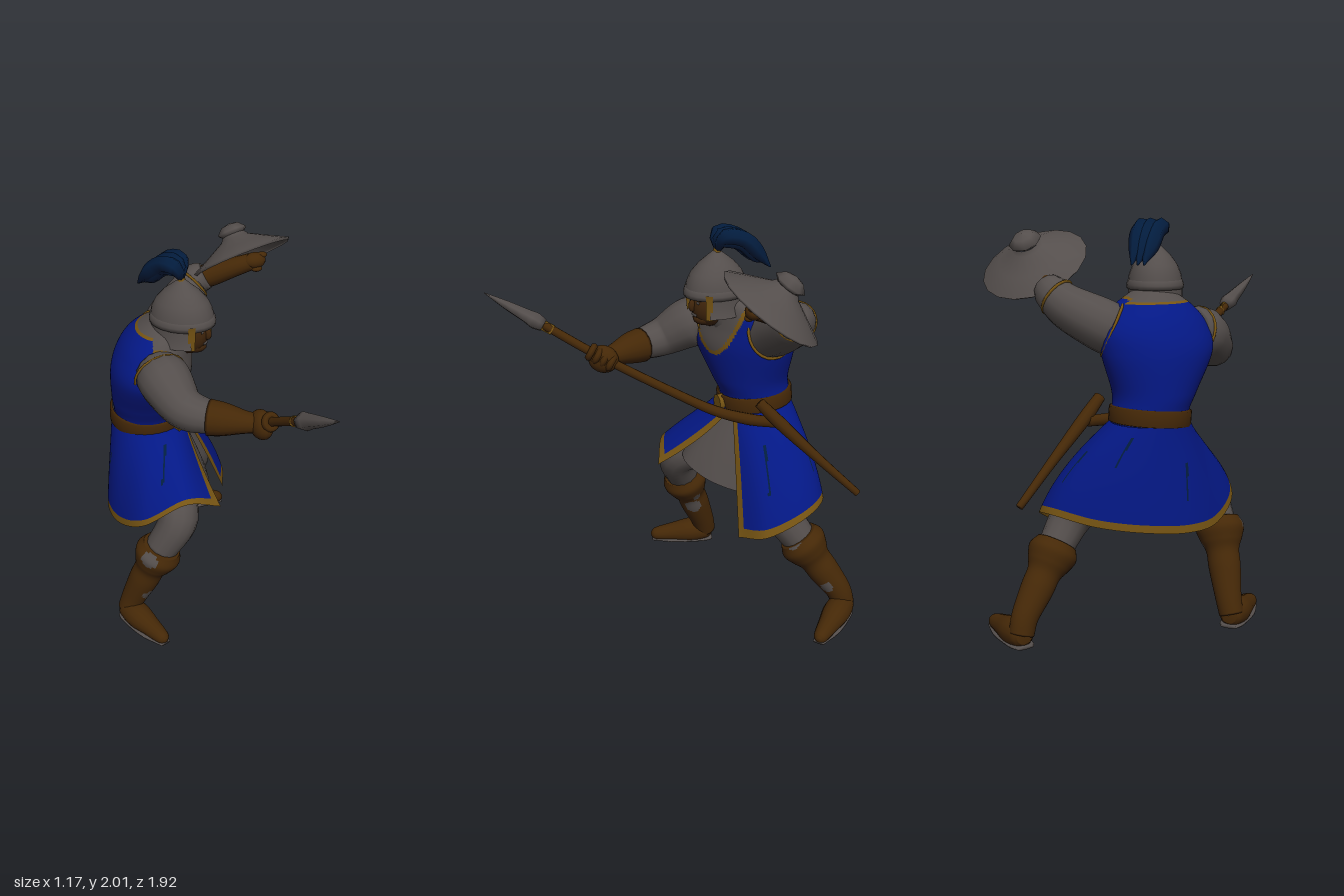
import * as THREE from 'three';

const mat = (name, color, side = THREE.FrontSide) => {
  const m = new THREE.MeshStandardMaterial({ color, side });
  m.name = name;
  return m;
};
const blue = mat('blue cloth', 0x041885, THREE.DoubleSide);
const gold = mat('gold trim', 0x765413, THREE.DoubleSide);
const steel = mat('grey steel', 0x544e4c, THREE.DoubleSide);
const brown = mat('brown leather', 0x452807);
const skin = mat('skin', 0x40250b);
const plumeBlue = mat('plume blue', 0x031d3f);

const V = (x, y, z) => new THREE.Vector3(x, y, z);

// Smooth interpolation through rows of up to five numbers
function spline(pts) {
  const curve = f => new THREE.CatmullRomCurve3(pts.map(f), false, 'catmullrom', 0.5);
  const a = curve(p => V(p[0], p[1], p[2]));
  const b = curve(p => V(p[3] || 0, p[4] || 0, 0));
  return t => [...a.getPoint(t).toArray(), ...b.getPoint(t).toArray()];
}

// Surface from a grid of points; pick chooses the material of each quad
function grid(rows, cols, closed, point, pick = () => 0) {
  const pos = [], lists = [], n = closed ? cols : cols + 1;
  for (let i = 0; i <= rows; i++)
    for (let j = 0; j < n; j++) pos.push(...point(i / rows, j / cols));
  for (let i = 0; i < rows; i++)
    for (let j = 0; j < cols; j++) {
      const k = (j + 1) % n, a = i * n + j, b = i * n + k, c = b + n, d = a + n;
      const center = [0, 1, 2].map(q => (pos[a * 3 + q] + pos[c * 3 + q]) / 2);
      (lists[pick((i + 0.5) / rows, (j + 0.5) / cols, center)] ??= []).push(a, b, c, a, c, d);
    }
  const g = new THREE.BufferGeometry();
  g.setAttribute('position', new THREE.Float32BufferAttribute(pos, 3));
  g.setIndex(lists.flat());
  let start = 0;
  lists.forEach((l, m) => { g.addGroup(start, l.length, m); start += l.length; });
  g.computeVertexNormals();
  return g;
}

// Round limb through [x, y, z, radius] points
function limbGeo(pts, sides = 14, steps = 6, pick) {
  const s = spline(pts), rows = (pts.length - 1) * steps, frames = [];
  let N = null;
  for (let i = 0; i <= rows; i++) {
    const t = i / rows, p = s(t);
    const T = V(...s(Math.min(1, t + 0.01))).sub(V(...s(Math.max(0, t - 0.01)))).normalize();
    if (!N) N = Math.abs(T.y) > 0.9 ? V(1, 0, 0) : V(0, 1, 0);
    N = N.clone().addScaledVector(T, -N.dot(T)).normalize();
    frames.push({ p: V(...p), r: Math.max(0.001, p[3]), N, B: T.clone().cross(N) });
  }
  frames.unshift({ ...frames[0], r: 0.001 });
  frames.push({ ...frames.at(-1), r: 0.001 });
  return grid(frames.length - 1, sides, true, (v, u) => {
    const f = frames[Math.round(v * (frames.length - 1))], a = u * Math.PI * 2;
    return f.p.clone().addScaledVector(f.N, f.r * Math.cos(a)).addScaledVector(f.B, f.r * Math.sin(a)).toArray();
  }, pick);
}

export function createModel() {
  const root = new THREE.Group();
  const add = (name, geo, material, parent = root) => {
    const m = new THREE.Mesh(geo, material);
    m.name = name;
    parent.add(m);
    return m;
  };
  const limb = (name, pts, material, sides, steps) => add(name, limbGeo(pts, sides, steps), material);
  const ball = (name, p, s, material, parent) => {
    const m = add(name, new THREE.SphereGeometry(1, 18, 12), material, parent);
    m.position.set(...p);
    m.scale.set(...s);
    return m;
  };
  const ring = (name, p, dir, r, t, material) => {
    const m = add(name, new THREE.TorusGeometry(r, t, 6, 24), material);
    m.position.set(...p);
    m.quaternion.setFromUnitVectors(V(0, 0, 1), V(...dir).normalize());
  };

  // Torso: ellipses [centre x, y, centre z, half width, half depth], turned toward +x
  const fx = 0.94, fz = 0.35;
  const body = spline([[-0.28, 1.0, -0.33, 0.185, 0.175], [-0.28, 1.1, -0.33, 0.185, 0.172],
    [-0.28, 1.2, -0.3, 0.205, 0.19], [-0.27, 1.38, -0.27, 0.275, 0.205],
    [-0.25, 1.5, -0.27, 0.265, 0.185], [-0.22, 1.59, -0.25, 0.2, 0.15], [-0.17, 1.67, -0.2, 0.08, 0.09]]);
  const torso = grid(100, 180, true, (v, u) => {
    const [x, y, z, w, d] = body(v), a = u * Math.PI * 2, f = d * Math.cos(a), s = w * Math.sin(a);
    return [x + fx * f + fz * s, y, z + fz * f - fx * s];
  }, (v, u, [x, y, z]) => {
    const f = fx * (x + 0.25) + fz * (z + 0.26), s = Math.abs(fz * (x + 0.25) - fx * (z + 0.2));
    const neckline = f > 0 ? 1.36 + 8 * s * s : 1.615;
    const edge = y - neckline, trim = f > 0 ? 0.009 + 0.12 * s : 0.005;
    return edge > trim ? 2 : edge > -trim ? 1 : 0;
  });
  add('tunic torso', torso, [blue, gold, steel]);
  limb('neck', [[-0.18, 1.5, -0.21, 0.09], [-0.14, 1.62, -0.16, 0.085]], steel);

  // Skirt: hem outline, starting at the right edge of the front opening, with dark folds
  const hem = spline([[-0.05, 0.71, 0.13], [-0.25, 0.79, 0.16], [-0.45, 0.66, 0.08], [-0.53, 0.565, -0.12],
    [-0.53, 0.555, -0.32], [-0.43, 0.575, -0.52], [-0.26, 0.6, -0.67], [-0.05, 0.635, -0.755],
    [0.12, 0.6, -0.69], [0.205, 0.51, -0.52], [0.155, 0.46, -0.36]]);
  const folds = [[0.15, 0.15, 0.6], [0.4, 0.35, 0.7], [0.6, 0.1, 0.4], [0.72, 0.3, 0.65], [0.88, 0.25, 0.65]];
  const skirt = grid(40, 200, false, (v, u) => {
    const h = hem(u), a = 1.1 - u * (Math.PI * 2 - 0.06);
    const bulge = 0.5 - 0.9 * Math.exp(-u * 12) - 0.4 * Math.exp((u - 1) * 20), e = v * (1 + bulge * (1 - v));
    const x = -0.28 + 0.19 * Math.sin(a), z = -0.33 + 0.19 * Math.cos(a);
    return [x + (h[0] - x) * e, 1.06 + (h[1] - 1.06) * v, z + (h[2] - z) * e];
  }, (v, u) => {
    if (v > 0.93 || u < 0.018 || u > 0.982) return 1;
    const inFold = ([c, a, b]) => v > a && v < b && Math.abs(u - c - 0.03 * (v - a) ** 2) < 0.003;
    return folds.some(inFold) ? 2 : 0;
  });
  add('tunic skirt', skirt, [blue, gold, plumeBlue]);

  // Mail apron showing through the opening
  const apron = spline([[-0.22, 0.76, 0.04], [-0.1, 0.73, 0.0], [-0.02, 0.69, -0.12],
    [0.02, 0.665, -0.25], [0.04, 0.66, -0.38], [0.01, 0.66, -0.5]]);
  add('mail apron', grid(10, 24, false, (v, u) => {
    const h = apron(u), a = 0.4 + u * 1.5, e = v * (1.2 - 0.2 * v);
    const x = -0.28 + 0.16 * Math.sin(a), z = -0.33 + 0.16 * Math.cos(a);
    return [x + (h[0] - x) * e, 1.05 + (h[1] - 1.05) * v, z + (h[2] - z) * e];
  }), steel);
  ball('hips', [-0.25, 0.89, -0.32], [0.16, 0.17, 0.17], steel);

  // Belt and buckle
  const profile = (pts, sides = 24) => new THREE.LatheGeometry(pts.map(p => new THREE.Vector2(...p)), sides);
  const belt = add('belt', profile([[0.183, -0.04], [0.197, -0.035], [0.197, 0.035], [0.183, 0.04]], 32), brown);
  belt.position.set(-0.28, 1.085, -0.33);
  belt.rotation.x = 0.1;
  const buckle = add('buckle', new THREE.CylinderGeometry(0.045, 0.048, 0.03, 8).rotateX(Math.PI / 2), gold);
  buckle.position.set(-0.155, 1.065, -0.175);
  buckle.rotation.y = 0.67;

  // Legs: hip, knee, cuff, ankle, heel, toe and worn patches for each side
  const legs = [
    ['right', [-0.3, 0.88, -0.24], [-0.265, 0.66, 0.08], [-0.375, 0.47, 0.075], [-0.5, 0.15, 0.0], [-0.53, 0.065, -0.01], [-0.43, 0.04, 0.26],
      [[-0.46, 0.49, 0.16, 0.045], [-0.37, 0.3, 0.02, 0.045], [-0.45, 0.2, 0.08, 0.033], [-0.35, 0.38, 0.0, 0.03]]],
    ['left', [-0.2, 0.88, -0.4], [0.03, 0.58, -0.55], [0.04, 0.42, -0.67], [0.02, 0.15, -0.87], [0.015, 0.065, -0.9], [0.305, 0.035, -0.83],
      [[0.14, 0.48, -0.62, 0.06], [0.08, 0.2, -0.82, 0.035], [0.0, 0.45, -0.55, 0.04]]],
  ];
  for (const [side, hip, knee, cuff, ankle, heel, toe, patches] of legs) {
    const mix = (a, b, t) => a.map((c, i) => c + (b[i] - c) * t);
    limb(side + ' leg', [[...hip, 0.12], [...mix(hip, knee, 0.55), 0.125], [...knee, 0.105], [...cuff, 0.085]], steel);
    const shaft = limbGeo([[...mix(cuff, ankle, -0.12), 0.1], [...mix(cuff, ankle, 0.03), 0.122],
      [...mix(cuff, ankle, 0.2), 0.105], [...mix(cuff, ankle, 0.36), 0.083],
      [...mix(cuff, ankle, 0.6), 0.08], [...ankle, 0.066], [...heel, 0.06]], 40, 10,
    (v, u, p) => (patches.some(q => Math.hypot(p[0] - q[0], p[1] - q[1], p[2] - q[2]) < q[3]) ? 1 : 0));
    add(side + ' boot shaft', shaft, [brown, steel]);
    limb(side + ' foot', [[...mix(heel, toe, -0.12), 0.04], [...heel, 0.062], [...mix(heel, toe, 0.3), 0.07],
      [...mix(heel, toe, 0.65), 0.054], [...toe, 0.036], [...mix(heel, toe, 1.1), 0.012]], brown);
    const flat = (t, r) => { const p = mix(heel, toe, t); return [p[0], 0, p[2], r]; };
    const sole = limb(side + ' sole', [flat(-0.14, 0.045), flat(0.05, 0.062), flat(0.6, 0.064), flat(1.08, 0.03)], steel);
    sole.scale.y = 0.2;
    sole.position.y = 0.013;
  }

  // Right arm holding the spear
  limb('right sleeve', [[-0.3, 1.46, -0.08, 0.115], [-0.29, 1.44, 0.02, 0.132], [-0.25, 1.365, 0.15, 0.105],
    [-0.17, 1.345, 0.235, 0.085], [-0.1, 1.34, 0.28, 0.06]], steel);
  limb('right glove cuff', [[-0.155, 1.34, 0.245, 0.09], [-0.09, 1.34, 0.29, 0.08], [0.0, 1.335, 0.345, 0.054], [0.06, 1.335, 0.375, 0.05]], brown);
  ball('right hand', [0.058, 1.33, 0.38], [0.056, 0.072, 0.08], brown);
  for (let i = 0; i < 4; i++) {
    const t = (i - 1.5) * 0.038;
    ring('finger', [0.074 + t * 0.11, 1.345 + t * 0.46, 0.385 + t * 0.87], [0.07, 0.29, 0.55], 0.03, 0.019, brown);
  }

  // Left arm raised behind the shield
  limb('left sleeve', [[-0.16, 1.46, -0.4, 0.12], [-0.1, 1.51, -0.47, 0.125], [0.02, 1.585, -0.56, 0.108],
    [0.09, 1.645, -0.595, 0.09], [0.145, 1.675, -0.58, 0.072]], steel);
  limb('left glove', [[0.13, 1.667, -0.58, 0.06], [0.18, 1.69, -0.555, 0.062], [0.28, 1.74, -0.49, 0.05], [0.35, 1.77, -0.455, 0.044]], brown);
  ball('left hand', [0.365, 1.775, -0.45], [0.062, 0.042, 0.045], brown);
  for (let i = 0; i < 4; i++)
    ball('finger', [0.405 - i * 0.012, 1.8 - i * 0.02, -0.45 + i * 0.008], [0.03, 0.016, 0.022], brown);

  // Gold edging round the armholes and elbow
  ring('left armhole trim', [-0.135, 1.485, -0.435], [0.2, 0.12, -0.2], 0.13, 0.008, gold);
  ring('right armhole trim', [-0.3, 1.455, -0.05], [0.02, -0.08, 0.2], 0.127, 0.007, gold);
  ring('left elbow trim', [0.075, 1.635, -0.59], [0.2, 0.14, -0.05], 0.094, 0.007, gold);

  // Spear and scabbard
  limb('spear shaft', [[0.115, 1.51, 0.68, 0.022], [0.072, 1.345, 0.385, 0.023], [-0.02, 1.14, 0.0, 0.024],
    [-0.055, 1.06, -0.18, 0.027], [-0.045, 1.04, -0.35, 0.03], [-0.035, 1.045, -0.5, 0.028]], brown, 10);
  limb('spear binding', [[0.108, 1.478, 0.625, 0.027], [0.116, 1.505, 0.675, 0.027]], gold, 10, 1);
  limb('spear head', [[0.115, 1.502, 0.67, 0.034], [0.121, 1.525, 0.71, 0.046], [0.126, 1.545, 0.745, 0.038],
    [0.14, 1.6, 0.85, 0.024], [0.156, 1.66, 0.96, 0.002]], steel, 6, 2);
  limb('scabbard', [[-0.02, 1.15, -0.41, 0.028], [-0.02, 1.05, -0.52, 0.033], [-0.02, 0.88, -0.72, 0.024], [-0.03, 0.705, -0.93, 0.018]], brown, 10);

  // Conical shield with a central boss
  const shield = new THREE.Group();
  shield.name = 'shield';
  shield.position.set(0.322, 1.778, -0.515);
  shield.quaternion.setFromUnitVectors(V(0, 1, 0), V(-0.17, 0.81, -0.56).normalize());
  root.add(shield);
  add('shield plate', profile([[0.255, -0.012], [0.266, 0], [0.17, 0.05], [0.075, 0.1], [0.06, 0.12]], 18), steel, shield);
  add('shield boss', profile([[0.06, 0.12], [0.082, 0.138], [0.05, 0.17], [0, 0.182]], 8), steel, shield);

  // Head, local +z is the face direction
  const head = new THREE.Group();
  head.name = 'head';
  head.position.set(-0.14, 1.64, -0.15);
  head.rotation.y = 0.78;
  head.scale.set(0.86, 1, 1.05);
  root.add(head);
  ball('face', [0, -0.025, 0.03], [0.1, 0.115, 0.098], skin, head);
  ball('nose', [0, -0.02, 0.126], [0.018, 0.032, 0.022], skin, head);
  ball('jaw', [0, -0.09, 0.06], [0.06, 0.04, 0.06], skin, head);
  ball('mouth', [0, -0.068, 0.118], [0.028, 0.011, 0.006], steel, head);
  for (const s of [-1, 1]) {
    ball('brow', [0.04 * s, 0.022, 0.11], [0.035, 0.012, 0.018], skin, head);
    ball('eye', [0.04 * s, 0.0, 0.117], [0.014, 0.007, 0.004], steel, head);
  }

  // Helmet: pointed dome, brim, neck guard and gold-edged cheek guards
  const arc = (pts, a, b) => new THREE.LatheGeometry(pts.map(p => new THREE.Vector2(...p)), 28, a, b - a);
  add('helmet dome', profile([[0.155, 0.04], [0.148, 0.09], [0.126, 0.138], [0.088, 0.183], [0.048, 0.216], [0.016, 0.242], [0, 0.25]]), steel, head);
  add('helmet brim', profile([[0.14, 0.03], [0.16, 0.025], [0.162, 0.045], [0.155, 0.065], [0.147, 0.07]]), steel, head);
  add('neck guard', arc([[0.168, -0.065], [0.153, -0.02], [0.153, 0.045]], 0.95, Math.PI * 2 - 0.95), steel, head);
  for (const s of [-1, 1]) {
    const a = 0.92 * s;
    add('cheek trim', arc([[0.152, -0.075], [0.157, -0.02], [0.16, 0.03], [0.166, 0.055]], a - 0.11, a + 0.11), gold, head);
  }

  // Plume: layered tapering locks swept backward
  limb('plume holder', [[-0.14, 1.86, -0.15, 0.026], [-0.14, 1.9, -0.155, 0.014]], gold, 8);
  for (let i = 0; i < 5; i++) {
    const o = (i - 2) * 0.014, h = (i % 2) * 0.02;
    limb('plume lock', [[-0.14, 1.885, -0.155, 0.016], [-0.15 + o, 1.955 - h, -0.17 - o, 0.04],
      [-0.19 + o, 1.94 - h, -0.25 - o, 0.043], [-0.23 + o, 1.87 - h, -0.32 - o * 0.6, 0.04],
      [-0.26 + o, 1.79 + h, -0.39 + h - o * 0.4, 0.004]], plumeBlue, 6, 3);
  }
  return root;
}
